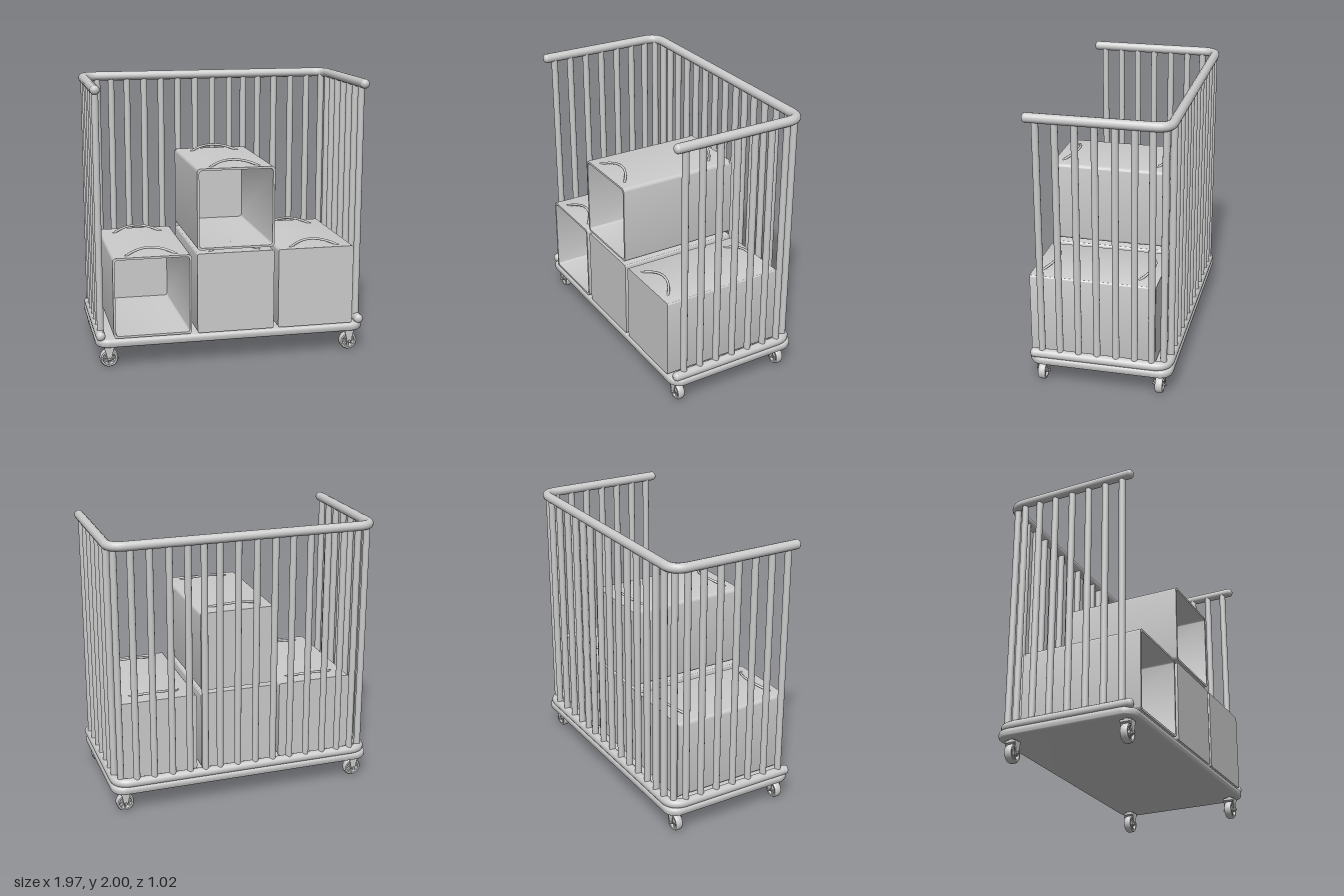
import * as THREE from 'three';
import { toCreasedNormals } from 'three/addons/utils/BufferGeometryUtils.js';

const mat = new THREE.MeshStandardMaterial({ color: 0xcccccc });

function add(parent, geometry, name, x = 0, y = 0, z = 0) {
  const mesh = new THREE.Mesh(geometry, mat);
  mesh.name = name;
  mesh.position.set(x, y, z);
  parent.add(mesh);
  return mesh;
}

// Rounded rectangle centred on the origin
function roundRect(PathType, w, h, r) {
  const p = new PathType(), a = w / 2, b = h / 2;
  p.absarc(a - r, b - r, r, 0, Math.PI / 2);
  p.absarc(-a + r, b - r, r, Math.PI / 2, Math.PI);
  p.absarc(-a + r, -b + r, r, Math.PI, Math.PI * 1.5);
  p.absarc(a - r, -b + r, r, Math.PI * 1.5, Math.PI * 2);
  p.closePath();
  return p;
}

// Platform with rounded corners and rounded rim
function makeBase() {
  const b = 0.022;
  const geo = new THREE.ExtrudeGeometry(roundRect(THREE.Shape, 1.97 - 2 * b, 1.025 - 2 * b, 0.075), {
    depth: 0.06 - 2 * b, bevelEnabled: true, bevelSize: b, bevelThickness: b, bevelSegments: 4, curveSegments: 8,
  });
  geo.rotateX(-Math.PI / 2);
  return toCreasedNormals(geo, 0.7);
}

// U-shaped rail, open towards the front, with domed ends
function makeRail(name, y) {
  const rail = new THREE.Group();
  rail.name = name;
  const X = 0.95, Z = -0.482, R = 0.11, front = 0.47, r = 0.034;
  const v = (x, z) => new THREE.Vector3(x, 0, z);
  const path = new THREE.CurvePath();
  path.add(new THREE.LineCurve3(v(-X, front), v(-X, Z + R)));
  path.add(new THREE.QuadraticBezierCurve3(v(-X, Z + R), v(-X, Z), v(-X + R, Z)));
  path.add(new THREE.LineCurve3(v(-X + R, Z), v(X - R, Z)));
  path.add(new THREE.QuadraticBezierCurve3(v(X - R, Z), v(X, Z), v(X, Z + R)));
  path.add(new THREE.LineCurve3(v(X, Z + R), v(X, front)));
  add(rail, new THREE.TubeGeometry(path, 160, r, 14), name + 'Tube');
  for (const s of [-1, 1]) {
    add(rail, new THREE.SphereGeometry(r, 14, 8), name + 'End', s * X, 0, front).scale.z = 0.8;
  }
  rail.position.y = y;
  return rail;
}

// Hollow box open at the front; the inner walls taper towards the back
function openBoxGeometry(w, h, depth) {
  const shape = roundRect(THREE.Shape, w, h, 0.025);
  const iw = w - 0.03, ih = h - 0.03;
  shape.holes.push(roundRect(THREE.Path, iw, ih, 0.022));
  const geo = new THREE.ExtrudeGeometry(shape, { depth, bevelEnabled: false, curveSegments: 5 });
  const p = geo.attributes.position;
  for (let i = 0; i < p.count; i++) {
    const inner = Math.abs(p.getX(i)) < iw / 2 + 0.001 && Math.abs(p.getY(i)) < ih / 2 + 0.001;
    const onOuterCorner = Math.abs(p.getX(i)) > iw / 2 - 0.001 && Math.abs(p.getY(i)) > ih / 2 - 0.001;
    if (inner && !onOuterCorner && p.getZ(i) < 0.001) p.setXY(i, p.getX(i) * 0.93, p.getY(i) * 0.95);
  }
  return toCreasedNormals(geo, 0.6);
}

function closedBoxGeometry(w, h, depth) {
  return toCreasedNormals(new THREE.ExtrudeGeometry(roundRect(THREE.Shape, w, h, 0.015), {
    depth, bevelEnabled: false, curveSegments: 4,
  }), 0.6);
}

// Storage box with two bowed carrying handles on its lid
function makeBox(name, x, y, open) {
  const w = 0.558, h = 0.58, back = -0.385, front = 0.505;
  const box = new THREE.Group();
  box.name = name;
  box.position.set(x, y, 0);
  if (open) {
    add(box, openBoxGeometry(w, h, front - back - 0.012), 'openShell', 0, h / 2, back + 0.012);
    add(box, closedBoxGeometry(w, h, 0.014), 'backPanel', 0, h / 2, back);
  } else {
    add(box, closedBoxGeometry(w, h, front - back), 'closedShell', 0, h / 2, back);
  }
  for (const z of [0.445, -0.25]) {
    const pts = [];
    for (let i = 0; i <= 8; i++) {
      const t = i / 4 - 1, k = 1 - t * t;
      pts.push(new THREE.Vector3(t * 0.18, h - 0.004 + 0.038 * k, z - 0.075 * k));
    }
    const curve = new THREE.CatmullRomCurve3(pts);
    add(box, new THREE.TubeGeometry(curve, 28, 0.009, 8), 'handle');
    for (const end of [pts[0], pts[8]]) {
      add(box, new THREE.SphereGeometry(0.009, 8, 6), 'handleEnd', end.x, end.y, end.z);
    }
  }
  return box;
}

// Spoked caster wheel, axle along z, with fork and stem
function makeCaster(x, z) {
  const caster = new THREE.Group();
  caster.name = 'caster';
  caster.position.set(x, 0, z);
  const R = 0.065, hw = 0.026;
  const profile = [[0.046, -hw], [0.058, -hw], [R, -hw * 0.6], [R, hw * 0.6], [0.058, hw], [0.046, hw], [0.046, -hw]]
    .map(([a, b]) => new THREE.Vector2(a, b));
  const tire = toCreasedNormals(new THREE.LatheGeometry(profile, 28), 0.6);
  add(caster, tire.rotateX(Math.PI / 2), 'tire', 0, R, 0);
  add(caster, new THREE.CylinderGeometry(0.018, 0.018, 0.05, 14).rotateX(Math.PI / 2), 'hub', 0, R, 0);
  add(caster, new THREE.CylinderGeometry(0.009, 0.009, 0.1, 10).rotateX(Math.PI / 2), 'axle', 0, R, 0);
  for (let i = 0; i < 8; i++) {
    const a = i * Math.PI / 4;
    const spoke = add(caster, new THREE.BoxGeometry(0.036, 0.01, 0.024), 'spoke',
      Math.cos(a) * 0.032, R + Math.sin(a) * 0.032, 0);
    spoke.rotation.z = a;
  }
  // Fork cheeks narrowing down to the axle
  const cheek = new THREE.Shape();
  cheek.moveTo(-0.034, 0.15);
  cheek.lineTo(-0.015, R);
  cheek.absarc(0, R, 0.015, Math.PI, Math.PI * 2);
  cheek.lineTo(0.034, 0.15);
  cheek.closePath();
  for (const s of [-1, 1]) {
    add(caster, new THREE.ExtrudeGeometry(cheek, { depth: 0.008, bevelEnabled: false }), 'forkCheek', 0, 0, s * 0.036 - 0.004);
  }
  add(caster, new THREE.BoxGeometry(0.068, 0.016, 0.08), 'forkCrown', 0, 0.142, 0);
  add(caster, new THREE.CylinderGeometry(0.032, 0.032, 0.03, 16), 'stem', 0, 0.15, 0);
  return caster;
}

export function createModel() {
  const cart = new THREE.Group();
  cart.name = 'luggageCart';
  add(cart, makeBase(), 'platform', 0, 0.179, -0.003);
  cart.add(makeRail('bottomRail', 0.238), makeRail('topRail', 1.966));

  // Upright bars: back row, both sides and the rounded corners
  const bars = new THREE.Group();
  bars.name = 'cageBars';
  cart.add(bars);
  const barGeo = new THREE.CylinderGeometry(0.024, 0.024, 1.72, 14);
  const bar = (x, z) => add(bars, barGeo, 'bar', x, 1.1, z);
  for (const x of [-0.835, -0.73, -0.61, -0.48, -0.35, -0.22, -0.085, 0.05, 0.185, 0.295, 0.41, 0.54, 0.675, 0.805]) bar(x, -0.48);
  for (const s of [-1, 1]) {
    for (const z of [0.41, 0.28, 0.147, 0.015, -0.12, -0.25, -0.37]) bar(s * 0.945, z);
    bar(s * 0.915, -0.45);
  }

  // Four storage boxes, two of them open
  cart.add(
    makeBox('leftBox', -0.582, 0.225, true),
    makeBox('middleBox', 0.016, 0.225, false),
    makeBox('rightBox', 0.608, 0.225, false),
    makeBox('upperBox', 0.016, 0.83, true),
  );

  for (const x of [-0.89, 0.885]) for (const z of [0.425, -0.42]) cart.add(makeCaster(x, z));
  return cart;
}
